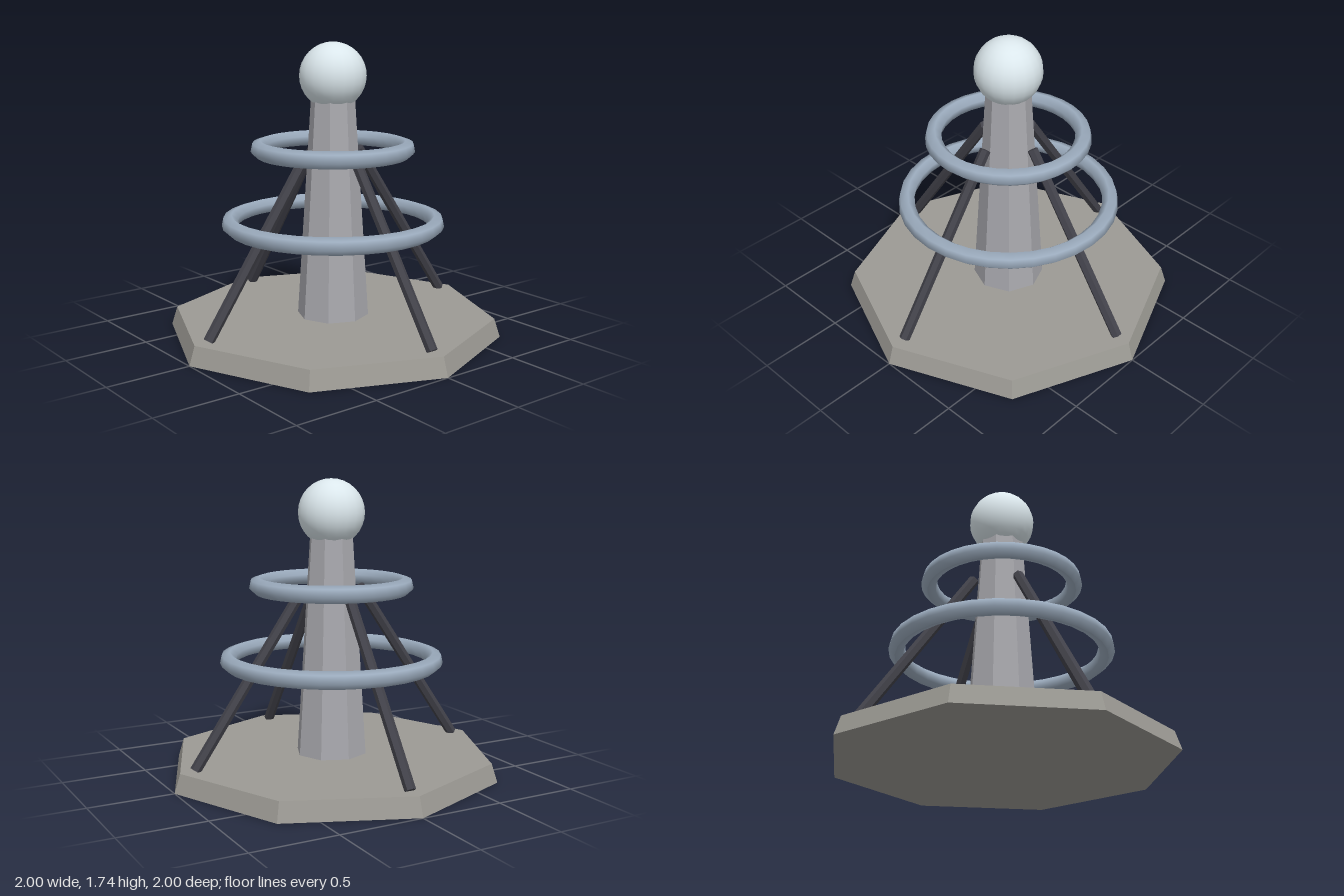
import * as THREE from 'three';

const material = (color, flatShading = false) => {
  const m = new THREE.MeshStandardMaterial({ color });
  m.flatShading = flatShading;
  return m;
};

function addMesh(group, name, geometry, mat, y = 0) {
  const mesh = new THREE.Mesh(geometry, mat);
  mesh.name = name;
  mesh.position.y = y;
  group.add(mesh);
  return mesh;
}

// Ring with a slightly tilted six-sided cross-section
function ringGeometry(radius, tube) {
  const profile = [];
  for (let i = 0; i <= 6; i++) {
    const a = THREE.MathUtils.degToRad(-78 + i * 60);
    profile.push(new THREE.Vector2(radius + tube * Math.cos(a), tube * Math.sin(a)));
  }
  return new THREE.LatheGeometry(profile, 32);
}

export function createModel() {
  const model = new THREE.Group();
  model.name = 'ringedTower';

  // Eight-sided base plate with sloping edge
  addMesh(model, 'base', new THREE.CylinderGeometry(0.965, 1, 0.11, 8), material(0x9c9a94, true), 0.055);

  // Tapered eight-sided column
  addMesh(model, 'column', new THREE.CylinderGeometry(0.13, 0.213, 1.29, 8), material(0xa9a9ae, true), 0.755);

  // Ball on top
  addMesh(model, 'ball', new THREE.SphereGeometry(0.196, 20, 16), material(0xdbe7ec), 1.54);

  // Two rings around the column
  const ringMat = material(0x9babbd);
  addMesh(model, 'lowerRing', ringGeometry(0.61, 0.05), ringMat, 0.677);
  addMesh(model, 'upperRing', ringGeometry(0.434, 0.05), ringMat, 1.117);

  // Four leaning six-sided struts
  const strutMat = material(0x42424a, true);
  const up = new THREE.Vector3(0, 1, 0);
  [['strutLeft', 1, 0], ['strutRight', -1, 0], ['strutFront', 0, 1], ['strutBack', 0, -1]].forEach(([name, x, z]) => {
    const foot = new THREE.Vector3(x * 0.874, 0.114, z * 0.874);
    const head = new THREE.Vector3(x * 0.19, 1.1, z * 0.19);
    const geometry = new THREE.CylinderGeometry(0.032, 0.032, foot.distanceTo(head), 6);
    geometry.rotateY(Math.PI / 6);
    const strut = addMesh(model, name, geometry, strutMat);
    strut.position.copy(foot).lerp(head, 0.5);
    strut.quaternion.setFromUnitVectors(up, head.sub(foot).normalize());
  });

  return model;
}
